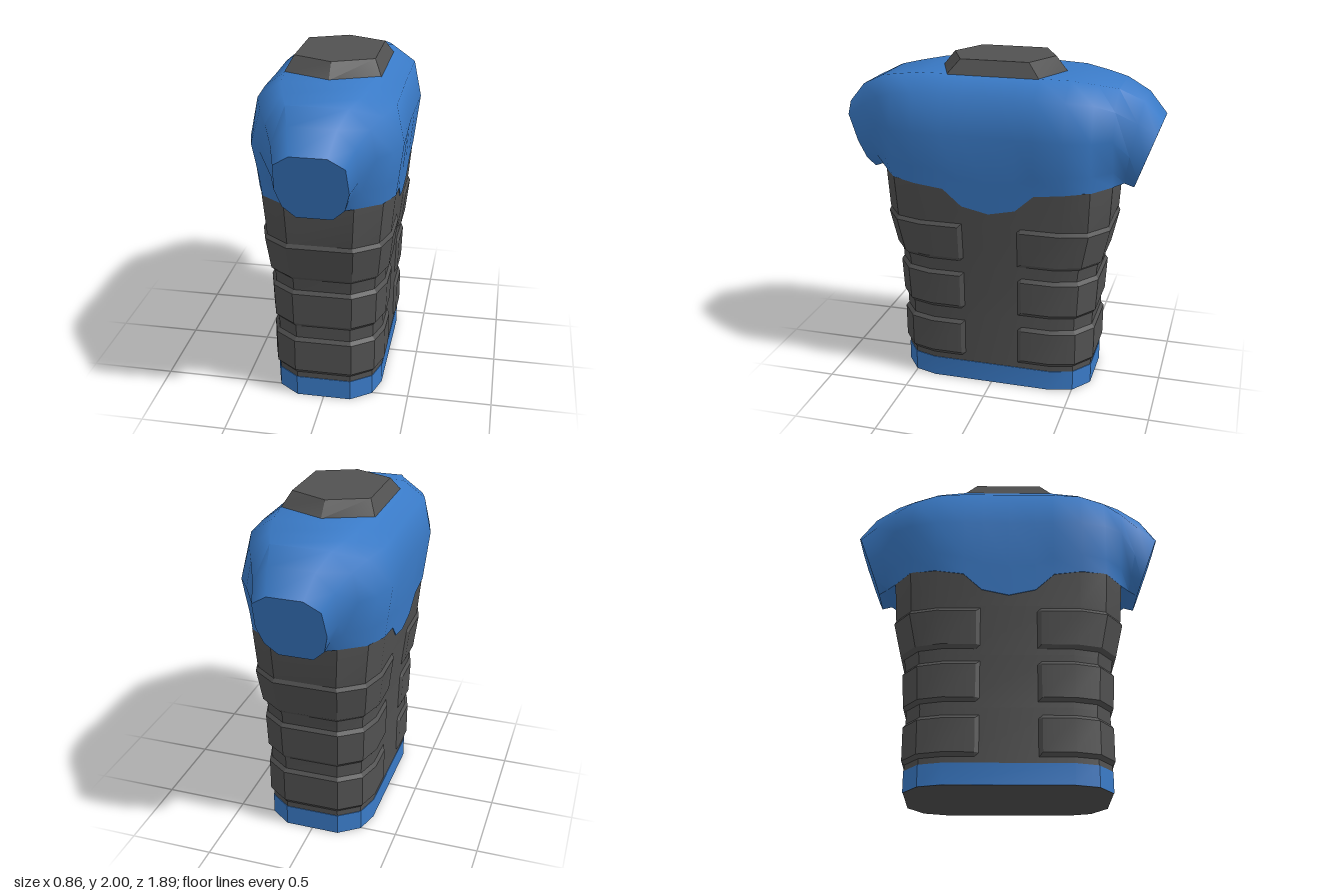
import * as THREE from 'three';
import { toCreasedNormals } from 'three/addons/utils/BufferGeometryUtils.js';

// Skin a surface through rows of [x, y, z] points, with optional end caps
function loft(rows, { closed = true, capStart = false, capEnd = false, crease = 0.6 } = {}) {
  const n = rows[0].length, pos = rows.flat(2), idx = [];
  const last = rows.length - 1, cols = closed ? n : n - 1;
  for (let r = 0; r < last; r++) {
    for (let i = 0; i < cols; i++) {
      const a = r * n + i, b = r * n + (i + 1) % n;
      idx.push(a, b, b + n, a, b + n, a + n);
    }
  }
  for (let i = 1; i < n - 1; i++) {
    if (capStart) idx.push(0, i + 1, i);
    if (capEnd) idx.push(last * n, last * n + i, last * n + i + 1);
  }
  const g = new THREE.BufferGeometry();
  g.setAttribute('position', new THREE.Float32BufferAttribute(pos, 3));
  g.setIndex(idx);
  return toCreasedNormals(g, crease);
}

// Half thickness (x) and half width (z) of the trunk by height
const TRUNK = [
  [0, 0.32, 0.59], [0.125, 0.32, 0.59], [0.45, 0.322, 0.592],
  [0.77, 0.333, 0.61], [1.07, 0.368, 0.678], [1.3, 0.39, 0.69],
];
function trunkSize(y) {
  let i = 0;
  while (i < TRUNK.length - 2 && y > TRUNK[i + 1][0]) i++;
  const [y0, x0, z0] = TRUNK[i], [y1, x1, z1] = TRUNK[i + 1], t = (y - y0) / (y1 - y0);
  return [x0 + (x1 - x0) * t, z0 + (z1 - z0) * t];
}

// Twelve-sided trunk outline at one height
function trunkRing(y, grow = 0) {
  const [w, d] = trunkSize(y), X = w + grow, Z = d + grow;
  const end = [[0.5 * X, Z], [0.875 * X, 0.85 * Z], [X, 0.62 * Z]];
  const side = [...end, ...end.map(([x, z]) => [x, -z]).reverse()];
  return [...side, ...side.map(([x, z]) => [-x, -z])].map(([x, z]) => [x, y, z]);
}

// Raised band wrapping round one end of the trunk, bevelled on all edges
function ribGeometry(y0, y1, dir) {
  const depth = 0.016, sunk = -0.004;
  const levels = [[y0, sunk], [y0 + 0.028, depth], [y1 - 0.028, depth], [y1, sunk]];
  const rows = levels.map(([y, out]) => {
    const [w, d] = trunkSize(y), X = w + out, Z = d + out;
    const half = [[0.5 * X, Z], [0.875 * X, 0.85 * Z], [X, 0.62 * Z], [X, 0.19], [w + sunk, 0.16]];
    const path = [...half.map(([x, z]) => [-x, z]).reverse(), ...half];
    return path.map(([x, z]) => [x * dir, y, z * dir]);
  });
  return loft(rows, { closed: false, crease: 0.4 });
}

// Shirt sections: z, lean of the section, then [x, y] from hem to top
const SHIRT = [
  [0, 0, [[0.38, 1.135], [0.396, 1.32], [0.42, 1.6], [0.385, 1.83], [0.27, 1.92]]],
  [0.16, 0, [[0.383, 1.17], [0.396, 1.33], [0.423, 1.6], [0.387, 1.83], [0.27, 1.92]]],
  [0.27, 0, [[0.391, 1.27], [0.4, 1.38], [0.427, 1.6], [0.388, 1.83], [0.27, 1.92]]],
  [0.44, 0, [[0.391, 1.29], [0.405, 1.4], [0.43, 1.6], [0.385, 1.82], [0.25, 1.915]]],
  [0.59, 0, [[0.337, 1.3], [0.35, 1.4], [0.39, 1.6], [0.335, 1.8], [0.21, 1.89]]],
  [0.69, 0.02, [[0.195, 1.3], [0.23, 1.4], [0.315, 1.6], [0.28, 1.76], [0.17, 1.868]]],
  [0.74, 0.19, [[0.12, 1.305], [0.18, 1.38], [0.235, 1.5], [0.225, 1.69], [0.13, 1.8]]],
  [0.8, 0.3625, [[0.1, 1.28], [0.17, 1.35], [0.2, 1.46], [0.19, 1.62], [0.1, 1.68]]],
];
function shirtRing([z, lean, half], dir) {
  const loop = [...half, ...half.map(([x, y]) => [-x, y]).reverse()];
  return loop.map(([x, y]) => [x, y, dir * (z + lean * (y - 1.28))]);
}

// Six-sided neck outline
const neckRing = (y, x, z, tip) =>
  [[0, tip], [x, z], [x, -z], [0, -tip], [-x, -z], [-x, z]].map(([px, pz]) => [px, y, pz]);

export function createModel() {
  const model = new THREE.Group();
  model.name = 'torso';
  const blue = new THREE.MeshStandardMaterial({ color: 0x3a7bc8 });
  blue.name = 'shirt blue';
  const gray = new THREE.MeshStandardMaterial({ color: 0x525252 });
  gray.name = 'dark gray';
  const add = (name, geometry, material) => {
    const mesh = new THREE.Mesh(geometry, material);
    mesh.name = name;
    model.add(mesh);
  };

  // Trunk with its flat underside
  add('trunk', loft(TRUNK.map(([y]) => trunkRing(y)), { capStart: true, capEnd: true }), gray);

  // Blue band round the bottom, with a narrow top ledge
  add('waistBand', loft([trunkRing(0, 0.003), trunkRing(0.125, 0.003), trunkRing(0.126, -0.002)]), blue);

  // Three ribs on each end
  for (const dir of [1, -1]) {
    for (const [y0, y1] of [[0.155, 0.41], [0.478, 0.735], [0.8, 1.06]]) {
      add('rib', ribGeometry(y0, y1, dir), gray);
    }
  }

  // Shirt with short closed sleeves
  const rows = [
    ...SHIRT.slice(1).reverse().map((s) => shirtRing(s, -1)),
    ...SHIRT.map((s) => shirtRing(s, 1)),
  ];
  add('shirt', loft(rows, { capStart: true, capEnd: true, crease: 0.85 }), blue);

  // Neck stub
  add('neck', loft([neckRing(1.915, 0.275, 0.27, 0.375), neckRing(2, 0.23, 0.2, 0.305)],
    { capEnd: true }), gray);

  return model;
}
